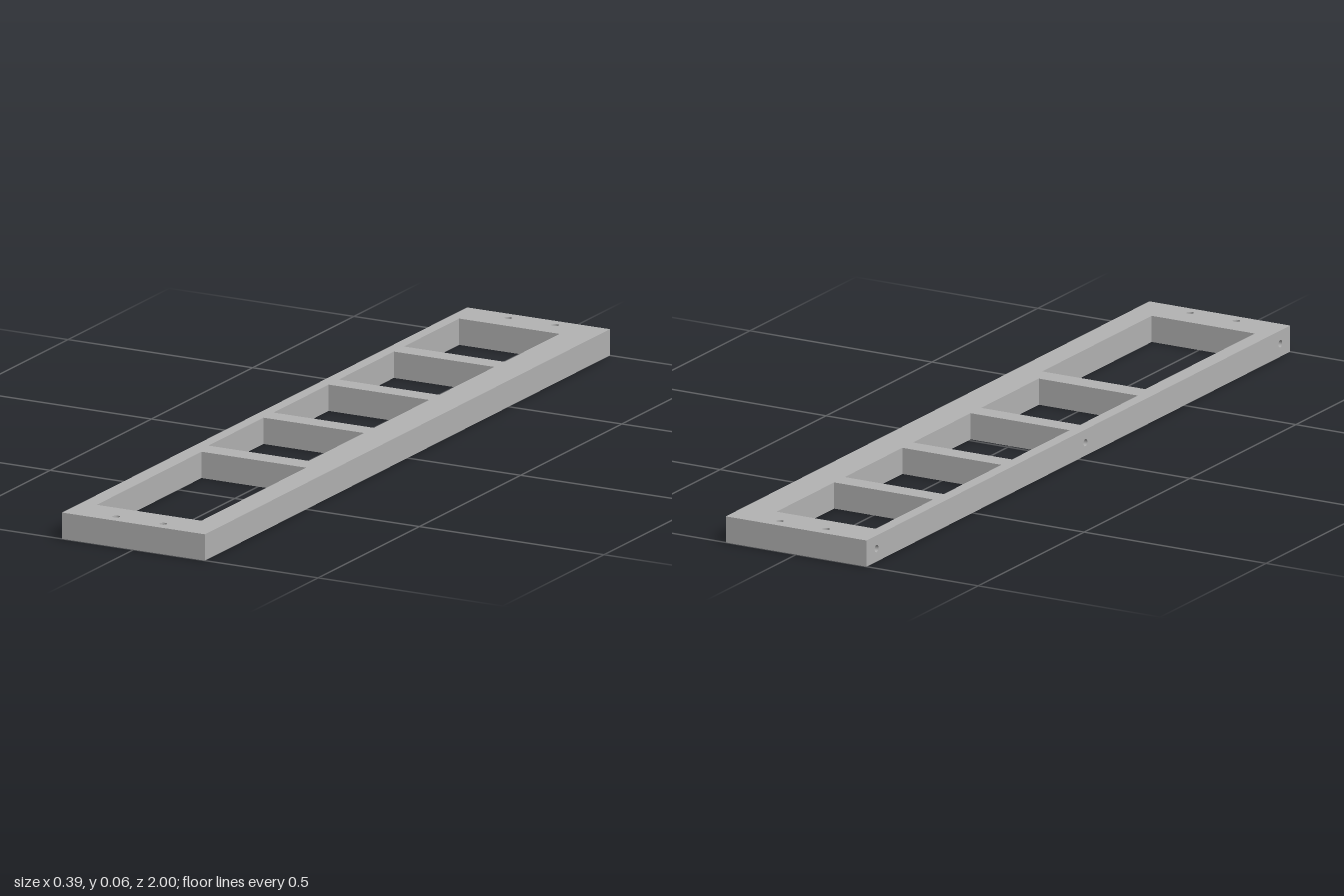
import * as THREE from 'three';

const W = 0.387, H = 0.065, L = 2;           // plate size
const BORE = 0.009, RECESS = 0.02, RECESS_H = 0.035, SIDE_DEPTH = 0.08;

// Windows as [x0, x1, z0, z1]: four squares and one long opening
const windows = [0, 1, 2, 3].map((i) => {
  const z = -0.907 + i * 0.322;
  return [-0.164, 0.108, z, z + 0.272];
});
windows.push([-0.153, 0.13, 0.385, 0.902]);

const screwHoles = [];
for (const x of [-0.064, 0.063]) for (const z of [-0.968, 0.968]) screwHoles.push([x, z]);
const sideHoles = [-0.953, 0.033, 0.953];

// Turn a surface inside out, for the walls of openings
function inward(geo) {
  geo.index.array.reverse();
  const n = geo.attributes.normal.array;
  for (let i = 0; i < n.length; i++) n[i] = -n[i];
  return geo;
}

// Box without the faces listed (0..5 = +x, -x, +y, -y, +z, -z)
function openBox(w, h, d, omit) {
  const geo = new THREE.BoxGeometry(w, h, d);
  const index = Array.from(geo.index.array).filter((_, i) => !omit.includes(Math.floor(i / 6)));
  geo.clearGroups();
  geo.setIndex(index);
  return geo;
}

function rectangle(Kind, x0, x1, y0, y1) {
  return new Kind([[x0, y0], [x1, y0], [x1, y1], [x0, y1]].map((p) => new THREE.Vector2(...p)));
}

function circle(x, y, r) {
  const path = new THREE.Path();
  path.absarc(x, y, r, 0, Math.PI * 2, true);
  return path;
}

// Flat face of the plate; flip is -1 where the shape's y runs against z
function plateFace(radius, flip) {
  const shape = rectangle(THREE.Shape, -W / 2, W / 2, -L / 2, L / 2);
  for (const [x0, x1, z0, z1] of windows) {
    shape.holes.push(rectangle(THREE.Path, x0, x1, flip * z0, flip * z1));
  }
  for (const [x, z] of screwHoles) shape.holes.push(circle(x, flip * z, radius));
  return new THREE.ShapeGeometry(shape, 16);
}

export function createModel() {
  const model = new THREE.Group();
  model.name = 'slottedPlate';
  const grey = new THREE.MeshStandardMaterial({ color: 0xb2b2b2, side: THREE.DoubleSide });
  grey.name = 'grey';

  const add = (name, geo, x = 0, y = 0, z = 0) => {
    const mesh = new THREE.Mesh(geo, grey);
    mesh.name = name;
    mesh.position.set(x, y, z);
    model.add(mesh);
  };
  const tube = (r, h) => inward(new THREE.CylinderGeometry(r, r, h, 32, 1, true));

  // Top and bottom faces
  add('topFace', plateFace(BORE, -1).rotateX(-Math.PI / 2), 0, H, 0);
  add('bottomFace', plateFace(RECESS, 1).rotateX(Math.PI / 2));

  // Outer edges: three plain ones and the drilled one at -x
  add('outerEdges', openBox(W, H, L, [1, 2, 3]), 0, H / 2, 0);
  const edge = rectangle(THREE.Shape, -L / 2, L / 2, 0, H);
  for (const z of sideHoles) edge.holes.push(circle(z, H / 2, BORE));
  add('drilledEdge', new THREE.ShapeGeometry(edge, 16).rotateY(-Math.PI / 2), -W / 2, 0, 0);

  // Window walls
  for (const [x0, x1, z0, z1] of windows) {
    add('windowWalls', inward(openBox(x1 - x0, H, z1 - z0, [2, 3])), (x0 + x1) / 2, H / 2, (z0 + z1) / 2);
  }

  // Screw holes, widened from below
  for (const [x, z] of screwHoles) {
    add('screwBore', tube(BORE, H - RECESS_H), x, (H + RECESS_H) / 2, z);
    add('screwRecess', tube(RECESS, RECESS_H), x, RECESS_H / 2, z);
    add('recessSeat', new THREE.RingGeometry(BORE, RECESS, 32).rotateX(Math.PI / 2), x, RECESS_H, z);
  }

  // Blind holes in the drilled edge
  for (const z of sideHoles) {
    add('sideBore', tube(BORE, SIDE_DEPTH).rotateZ(Math.PI / 2), -W / 2 + SIDE_DEPTH / 2, H / 2, z);
    add('sideBoreEnd', new THREE.CircleGeometry(BORE, 32).rotateY(-Math.PI / 2), -W / 2 + SIDE_DEPTH, H / 2, z);
  }
  return model;
}
